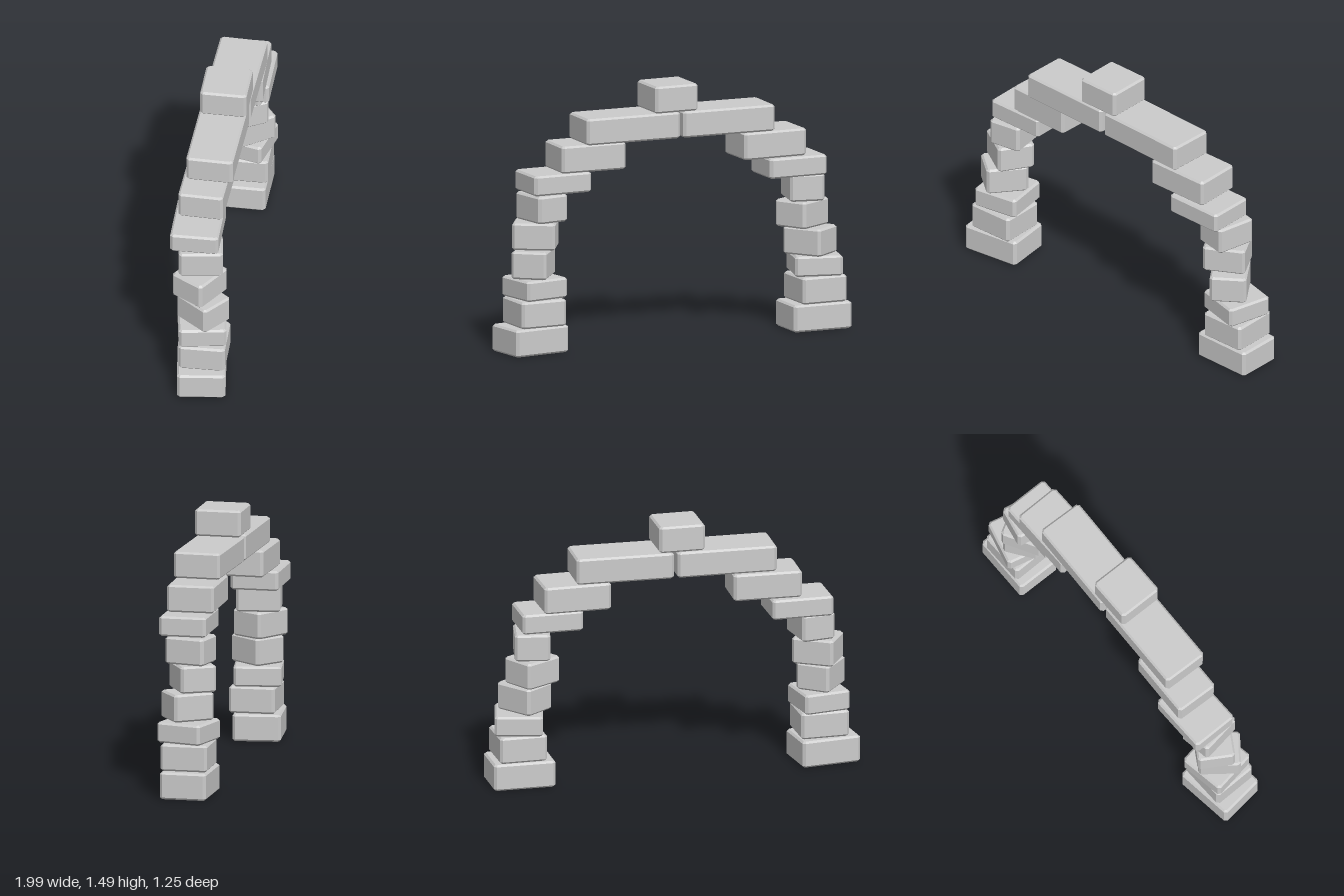
import * as THREE from 'three';

const material = new THREE.MeshStandardMaterial({ color: 0xcccccc, flatShading: true });

// Stone block with chamfered edges, standing on y = 0
function blockGeometry(length, width, height, c = 0.011) {
  const a = length / 2 + 0.003, b = width / 2 + 0.003, k = c * 1.4;
  const outline = [
    [a - k, -b], [a, -b + k], [a, b - k], [a - k, b],
    [-a + k, b], [-a, b - k], [-a, -b + k], [-a + k, -b],
  ].map(([x, y]) => new THREE.Vector2(x, y));
  const g = new THREE.ExtrudeGeometry(new THREE.Shape(outline), {
    depth: height - 2 * c, bevelEnabled: true, bevelSegments: 1,
    bevelThickness: c, bevelSize: c, bevelOffset: -c,
  });
  return g.translate(0, 0, c).rotateX(-Math.PI / 2);
}

// Bottom and top of each course
const courses = [
  [0, 0.155], [0.158, 0.311], [0.314, 0.43], [0.433, 0.591], [0.594, 0.748],
  [0.75, 0.905], [0.907, 1.022], [1.025, 1.181], [1.183, 1.334],
];

// Each stone, from the ground up: x, z, length, width, turn
const rightStones = [
  [-0.778, 0.422, 0.346, 0.27, 0.62],
  [-0.755, 0.424, 0.276, 0.26, 0.515],
  [-0.755, 0.408, 0.27, 0.267, 0.66],
  [-0.762, 0.421, 0.236, 0.198, 1.4],
  [-0.752, 0.39, 0.21, 0.24, 1.52],
  [-0.717, 0.37, 0.193, 0.245, 0.65],
  [-0.655, 0.305, 0.352, 0.27, 0.505],
  [-0.476, 0.23, 0.39, 0.251, 0.464],
  [-0.257, 0.148, 0.572, 0.262, 0.47],
];
const leftStones = [
  [0.785, -0.422, 0.354, 0.263, 0.487],
  [0.794, -0.422, 0.272, 0.264, 0.505],
  [0.791, -0.42, 0.27, 0.266, 0.25],
  [0.765, -0.39, 0.204, 0.239, 1.12],
  [0.72, -0.39, 0.24, 0.206, 1.01],
  [0.725, -0.38, 0.196, 0.231, 0.295],
  [0.652, -0.301, 0.35, 0.265, 0.493],
  [0.521, -0.25, 0.385, 0.267, 0.505],
  [0.271, -0.118, 0.56, 0.265, 0.462],
];

function stone(name, [x, z, length, width, turn], [bottom, top]) {
  const mesh = new THREE.Mesh(blockGeometry(length, width, top - bottom), material);
  mesh.name = name;
  mesh.position.set(x, bottom, z);
  mesh.rotation.y = turn;
  return mesh;
}

// One half of the arch: a pillar, corbels and a lintel
function halfArch(side, stones) {
  const half = new THREE.Group();
  half.name = `${side}Half`;
  stones.forEach((s, i) => {
    const part = i < 6 ? `PillarStone${i + 1}` : i < 8 ? `Corbel${i - 5}` : 'Lintel';
    half.add(stone(side + part, s, courses[i]));
  });
  return half;
}

export function createModel() {
  const arch = new THREE.Group();
  arch.name = 'stoneArch';
  arch.add(halfArch('right', rightStones), halfArch('left', leftStones));
  // Capstone over the joint between the lintels
  arch.add(stone('capstone', [-0.02, 0.034, 0.26, 0.26, 0.49], [1.336, 1.49]));
  return arch;
}
